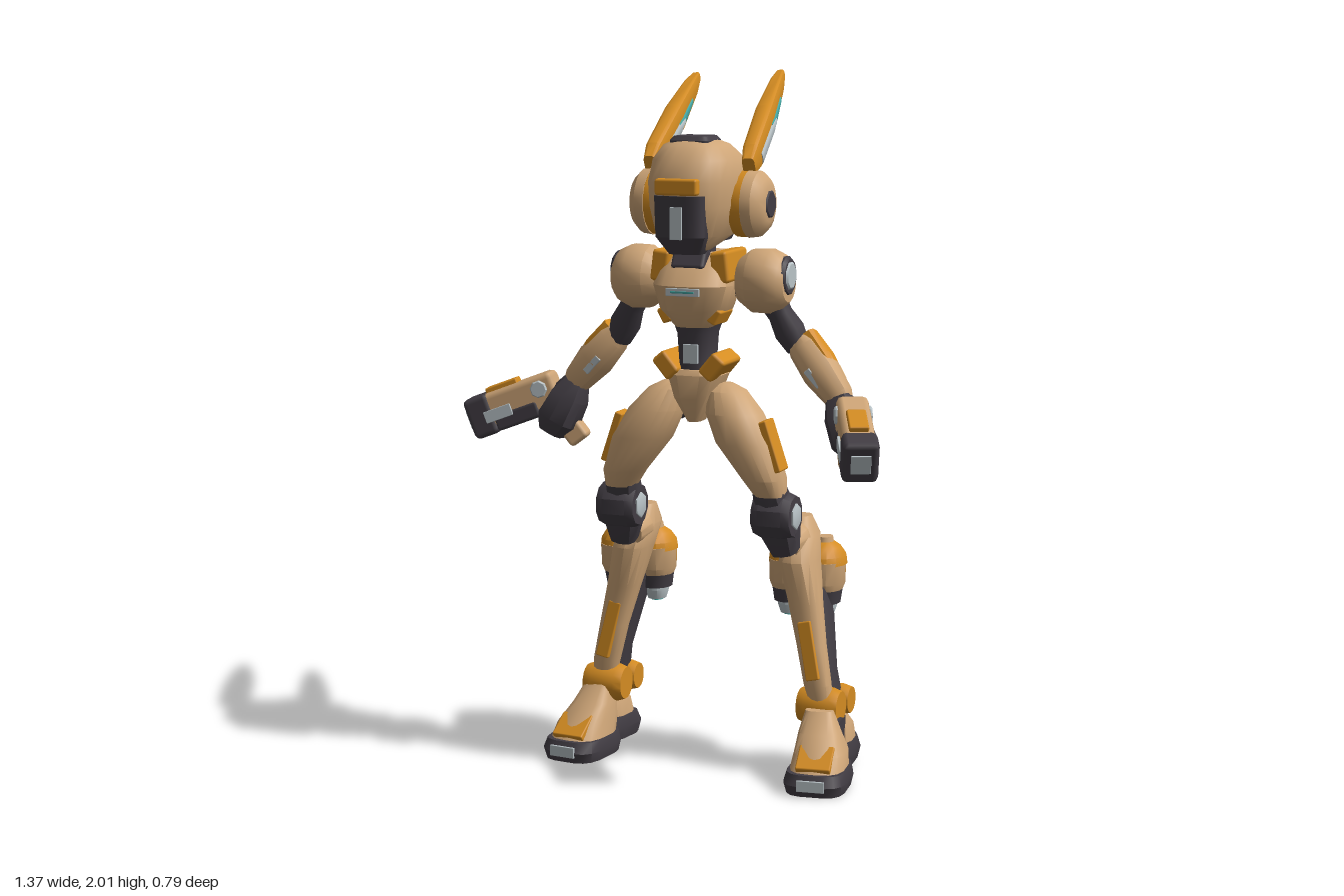
import * as THREE from 'three';
import { toCreasedNormals } from 'three/addons/utils/BufferGeometryUtils.js';
import { RoundedBoxGeometry } from 'three/addons/geometries/RoundedBoxGeometry.js';

const material = (name, color) => Object.assign(new THREE.MeshStandardMaterial({ color }), { name });
const tan = material('tan armour', 0xcfa678);
const orange = material('orange trim', 0xd48c22);
const dark = material('dark frame', 0x423d44);
const grey = material('light grey', 0xb9c3c7);
const teal = material('teal glow', 0x45a9a6);

const V = (x, y, z) => new THREE.Vector3(x, y, z);

// Solid skinned over rings [y, centreX, centreZ, radiusX, radiusZ], listed upwards; power p makes sections boxier
function loft(rings, n = 16, p = 2) {
  const pos = [], idx = [];
  const bend = (v) => Math.sign(v) * Math.abs(v) ** (2 / p);
  for (const [y, cx, cz, rx, rz] of rings)
    for (let i = 0; i < n; i++) {
      const a = ((i + 0.5) / n) * Math.PI * 2;
      pos.push(cx + rx * bend(Math.cos(a)), y, cz + rz * bend(Math.sin(a)));
    }
  const last = rings.length - 1, bottom = rings.length * n, top = bottom + 1;
  pos.push(rings[0][1], rings[0][0], rings[0][2], rings[last][1], rings[last][0], rings[last][2]);
  for (let i = 0; i < n; i++) {
    const j = (i + 1) % n;
    for (let r = 0; r < last; r++) {
      const a = r * n + i, b = r * n + j;
      idx.push(a, a + n, b, b, a + n, b + n);
    }
    idx.push(bottom, i, j, top, last * n + j, last * n + i);
  }
  const g = new THREE.BufferGeometry();
  g.setAttribute('position', new THREE.Float32BufferAttribute(pos, 3));
  g.setIndex(idx);
  return toCreasedNormals(g, 0.6);
}

function add(parent, name, geometry, mat) {
  const mesh = new THREE.Mesh(geometry, mat);
  mesh.name = name;
  parent.add(mesh);
  return mesh;
}

// Loft running from a to b; ring heights are fractions of the length
function limb(parent, name, mat, a, b, rings, n = 14, p = 2) {
  const dir = b.clone().sub(a), len = dir.length();
  dir.normalize();
  const hint = Math.abs(dir.x) > 0.85 ? V(0, 0, 1) : V(1, 0, 0);
  const x = hint.addScaledVector(dir, -hint.dot(dir)).normalize();
  const m = add(parent, name, loft(rings.map(([t, ...r]) => [t * len, ...r]), n, p), mat);
  m.quaternion.setFromRotationMatrix(new THREE.Matrix4().makeBasis(x, dir, x.clone().cross(dir)));
  m.position.copy(a);
  return m;
}
const round = (...pairs) => pairs.map(([t, r, r2 = r]) => [t, 0, 0, r, r2]);

function box(parent, name, mat, [w, h, d], [x, y, z], rot = [0, 0, 0]) {
  const m = add(parent, name, new RoundedBoxGeometry(w, h, d, 1, Math.min(w, h, d) * 0.2), mat);
  m.position.set(x, y, z);
  m.rotation.set(...rot);
  return m;
}

// Disc with bevelled rim, lying across x
const disc = (parent, name, mat, x0, x1, y, z, r, n = 16) =>
  limb(parent, name, mat, V(x0, y, z), V(x1, y, z), round([0, r * 0.85], [0.2, r], [0.8, r], [1, r * 0.85]), n);

function buildHead(g) {
  add(g, 'skull', loft([[1.52, 0, 0.16, 0.055, 0.06], [1.56, 0, 0.12, 0.1, 0.13], [1.64, 0, 0.095, 0.125, 0.165],
    [1.71, 0, 0.09, 0.13, 0.175], [1.77, 0, 0.095, 0.12, 0.145], [1.81, 0, 0.11, 0.088, 0.1], [1.828, 0, 0.12, 0.05, 0.05]], 24, 2.5), tan);
  add(g, 'visor', loft([[1.51, 0, 0.18, 0.048, 0.04], [1.56, 0, 0.2, 0.076, 0.062], [1.675, 0, 0.2, 0.078, 0.07]], 24, 4), dark);
  box(g, 'visorStripe', grey, [0.036, 0.09, 0.008], [0, 1.6, 0.268]);
  box(g, 'browPlate', orange, [0.126, 0.046, 0.04], [0, 1.7, 0.255]);
  add(g, 'crownPanel', loft([[1.79, 0, 0.122, 0.06, 0.062], [1.823, 0, 0.122, 0.06, 0.062], [1.835, 0, 0.122, 0.05, 0.052]], 20, 6), dark);
  add(g, 'napePanel', loft([[1.54, 0, 0.06, 0.07, 0.09], [1.59, 0, 0.03, 0.085, 0.1], [1.635, 0, 0.02, 0.075, 0.096]], 16, 3), dark);
  limb(g, 'neck', dark, V(0, 1.42, 0.065), V(0, 1.56, 0.1), round([0, 0.07], [0.5, 0.045], [1, 0.05]));
  const ears = [[1, V(0.147, 1.75, 0.09), V(0.07, 2, -0.39)], [-1, V(-0.15, 1.75, 0.09), V(-0.19, 1.99, -0.375)]];
  for (const [s, root, tip] of ears) {
    disc(g, 'earRim', orange, s * 0.1, s * 0.155, 1.645, 0.066, 0.094);
    limb(g, 'earCup', tan, V(s * 0.145, 1.645, 0.066), V(s * 0.203, 1.645, 0.066), round([0, 0.096], [0.5, 0.092], [0.85, 0.072], [1, 0.05]), 20);
    disc(g, 'earHub', dark, s * 0.18, s * 0.207, 1.645, 0.066, 0.042, 8);
    limb(g, 'earBlade', orange, root, tip, round([0, 0.018, 0.026], [0.1, 0.025, 0.04], [0.5, 0.027, 0.041], [0.85, 0.019, 0.026], [0.97, 0.012, 0.014], [1, 0.004, 0.006]), 12, 4);
    const at = (t) => root.clone().lerp(tip, t);
    limb(g, 'earUnderside', teal, at(0.14), at(0.66), [[0, 0, -0.03, 0.016, 0.015], [0.65, 0, -0.03, 0.018, 0.015], [1, 0, -0.025, 0.014, 0.012]], 12, 5);
    limb(g, 'earGlow', teal, at(0.42), at(0.72), [[0, 0, -0.012, 0.0285, 0.02], [0.3, 0, -0.012, 0.0285, 0.018], [1, 0, -0.008, 0.0245, 0.008]], 12, 5);
    limb(g, 'earInlay', grey, at(0.12), at(0.52), [[0, 0, -0.014, 0.0275, 0.02], [0.75, 0, -0.014, 0.03, 0.018], [1, 0, -0.014, 0.0295, 0.008]], 12, 5);
  }
}

function buildTorso(g) {
  add(g, 'chest', loft([[1.3, 0, 0.1, 0.06, 0.07], [1.35, 0, 0.11, 0.098, 0.1], [1.42, 0, 0.105, 0.12, 0.115],
    [1.47, 0, 0.09, 0.11, 0.1], [1.51, 0, 0.07, 0.085, 0.07]], 20, 2.6), tan);
  box(g, 'chestVent', grey, [0.1, 0.022, 0.008], [0, 1.405, 0.22]);
  box(g, 'chestGlow', teal, [0.07, 0.006, 0.009], [0, 1.405, 0.221]);
  box(g, 'throatPanel', dark, [0.1, 0.07, 0.05], [0, 1.49, 0.155], [-0.5, 0, 0]);
  box(g, 'backPlate', orange, [0.17, 0.09, 0.03], [0, 1.45, -0.008], [0.15, 0, 0]);
  add(g, 'abdomen', loft([[1.1, 0, 0.1, 0.07, 0.065], [1.2, 0, 0.1, 0.05, 0.058], [1.28, 0, 0.1, 0.056, 0.06], [1.33, 0, 0.1, 0.075, 0.07]], 16, 2.5), dark);
  box(g, 'bellyLight', grey, [0.045, 0.055, 0.01], [0, 1.225, 0.158]);
  add(g, 'pelvis', loft([[1.03, 0, 0.11, 0.02, 0.04], [1.1, 0, 0.105, 0.06, 0.075], [1.165, 0, 0.1, 0.085, 0.08], [1.18, 0, 0.1, 0.07, 0.07]], 12, 3), tan);
  for (const s of [1, -1]) {
    box(g, 'collarPlate', orange, [0.052, 0.09, 0.17], [s * 0.09, 1.472, 0.088], [0, 0, s * 0.12]);
    box(g, 'ribPlate', orange, [0.03, 0.045, 0.1], [s * 0.075, 1.335, 0.125], [0, 0, -s * 0.5]);
    box(g, 'hipBelt', orange, [0.05, 0.075, 0.14], [s * 0.07, 1.192, 0.112], [0, 0, -s * 0.7]);
  }
}

function buildGun(parent, rear, tip) {
  const g = new THREE.Group();
  g.name = 'handGun';
  g.position.copy(rear);
  g.lookAt(tip);
  parent.add(g);
  box(g, 'gunBody', tan, [0.09, 0.108, 0.23], [0, 0, 0.115]);
  box(g, 'gunMuzzle', dark, [0.1, 0.122, 0.08], [0, -0.005, 0.245]);
  box(g, 'gunUnderside', dark, [0.097, 0.05, 0.14], [0, -0.038, 0.14]);
  box(g, 'gunTopPlate', orange, [0.054, 0.022, 0.1], [0, 0.057, 0.16]);
  box(g, 'muzzleLens', grey, [0.055, 0.055, 0.008], [0, -0.005, 0.285]);
  box(g, 'gunGrip', tan, [0.06, 0.15, 0.065], [0, -0.1, 0.015], [0.3, 0, 0]);
  for (const s of [1, -1]) {
    box(g, 'gunSideLight', grey, [0.008, 0.035, 0.085], [s * 0.049, -0.012, 0.19]);
    disc(g, 'gunPivot', grey, s * 0.03, s * 0.052, 0.015, 0.05, 0.026, 8);
  }
}

function buildArm(g, s) {
  const P = (x, y, z) => V(s * x, y, z);
  const hz = s > 0 ? 0.1 : 0.035;
  limb(g, 'shoulder', tan, P(0.12, 1.43, 0.066), P(0.26, 1.43, 0.066), round([0, 0.065], [0.25, 0.09], [0.65, 0.092], [0.9, 0.076], [1, 0.058]), 16);
  disc(g, 'shoulderRing', dark, s * 0.22, s * 0.264, 1.445, 0.066, 0.058, 12);
  disc(g, 'shoulderHub', grey, s * 0.24, s * 0.269, 1.447, 0.066, 0.042, 8);
  limb(g, 'chestJoint', dark, P(0.08, 1.43, 0.066), P(0.15, 1.43, 0.066), round([0, 0.05], [1, 0.05]));
  limb(g, 'upperArm', dark, P(0.195, 1.4, 0.06), P(0.275, 1.24, 0.025), round([0, 0.045], [0.4, 0.036], [0.7, 0.045], [1, 0.035]));
  limb(g, 'forearm', tan, P(0.262, 1.275, 0.02), P(0.425, 1.095, hz * 0.7), round([0, 0.028], [0.2, 0.046], [0.55, 0.054], [0.9, 0.042], [1, 0.03]), 12, 2.4);
  limb(g, 'forearmPlate', orange, P(0.3, 1.278, 0.015), P(0.405, 1.155, hz * 0.5), round([0, 0.024, 0.034], [0.5, 0.028, 0.043], [1, 0.02, 0.028]), 8, 3);
  box(g, 'forearmLight', grey, [0.02, 0.06, 0.01], [s * 0.343, 1.165, 0.056 + hz * 0.4], [0, 0, s * 0.75]);
  limb(g, 'hand', dark, P(0.41, 1.11, hz * 0.7), P(0.485, 0.955, hz + 0.01), round([0, 0.036], [0.3, 0.056], [0.75, 0.062], [1, 0.038]), 10, 3);
  if (s > 0) buildGun(g, V(0.465, 1.085, 0.125), V(0.575, 0.985, 0.37));
  else buildGun(g, V(-0.465, 1.09, 0.03), V(-0.725, 0.99, 0.08));
}

function buildLeg(g, s) {
  // the right leg swings slightly backwards below the hip
  const dz = (y) => (s < 0 && y < 0.8 ? -0.06 * (1 - y / 0.8) : 0);
  const P = (x, y, z) => V(s * x, y, z + dz(y));
  const stack = (name, mat, rings, n, p) =>
    add(g, name, loft(rings.map(([y, x, z, rx, rz]) => [y, s * x, z + dz(y), rx, rz]), n, p), mat);

  limb(g, 'hipJoint', dark, P(0.03, 1.09, 0.085), P(0.11, 1.07, 0.075), round([0, 0.045], [0.5, 0.055], [1, 0.045]));
  stack('thigh', tan, [[0.83, 0.228, 0.12, 0.045, 0.05], [0.88, 0.212, 0.13, 0.062, 0.068], [0.98, 0.158, 0.13, 0.088, 0.078],
    [1.06, 0.118, 0.12, 0.082, 0.075], [1.12, 0.09, 0.105, 0.055, 0.055], [1.14, 0.08, 0.1, 0.025, 0.025]], 18, 2.2);
  box(g, 'thighPlate', orange, [0.024, 0.15, 0.07], [s * 0.24, 0.975, 0.135], [0, 0, s * 0.32]);
  stack('hamstring', dark, [[0.92, 0.18, 0.1, 0.04, 0.05], [0.98, 0.145, 0.095, 0.055, 0.056], [1.07, 0.1, 0.09, 0.05, 0.058]], 12, 2.5);
  stack('thighCuff', orange, [[0.865, 0.21, 0.11, 0.042, 0.055], [0.925, 0.18, 0.105, 0.05, 0.06]], 12, 2.5);
  limb(g, 'kneeFrame', dark, P(0.222, 0.86, 0.125), P(0.252, 0.66, 0.06), round([0, 0.045], [0.35, 0.056], [0.7, 0.056], [1, 0.04]), 10, 2.6);
  disc(g, 'kneeJoint', dark, s * 0.18, s * 0.295, 0.77, 0.1, 0.07, 10);
  for (const x of [0.179, 0.296]) disc(g, 'kneeHub', grey, s * x - 0.006, s * x + 0.006, 0.77, 0.1, 0.038, 6);

  // shin and calf
  limb(g, 'shinBridge', tan, P(0.245, 0.665, 0.03), P(0.25, 0.69, -0.09), round([0, 0.035], [0.5, 0.05], [1, 0.035]));
  stack('shin', tan, [[0.2, 0.35, 0.02, 0.032, 0.025], [0.27, 0.338, 0.022, 0.04, 0.034], [0.38, 0.315, 0.01, 0.043, 0.036],
    [0.5, 0.288, -0.012, 0.05, 0.045], [0.62, 0.262, -0.035, 0.056, 0.078], [0.685, 0.25, -0.068, 0.054, 0.076], [0.738, 0.245, -0.09, 0.03, 0.035]], 14, 2.5);
  stack('calf', dark, [[0.18, 0.35, -0.05, 0.04, 0.05], [0.3, 0.33, -0.055, 0.036, 0.04], [0.45, 0.3, -0.085, 0.045, 0.045], [0.62, 0.265, -0.1, 0.04, 0.04]], 10, 3);
  box(g, 'shinPlate', orange, [0.04, 0.17, 0.02], [s * 0.318, 0.37, 0.044 + dz(0.37)], [-0.12, 0, s * 0.21]);

  // twin thrusters behind the shin
  for (const x of s > 0 ? [0.197, 0.303] : [0.236, 0.346]) {
    const pod = (name, mat, z, ...rings) => stack(name, mat, rings.map(([y, r]) => [y, x, z, r, r * 1.22]), 14);
    pod('thrusterGlow', teal, -0.135, [0.432, 0.018], [0.45, 0.018]);
    pod('thrusterNozzle', grey, -0.135, [0.437, 0.027], [0.465, 0.036], [0.5, 0.034]);
    pod('thrusterCollar', dark, -0.135, [0.475, 0.046], [0.515, 0.052]);
    pod('thrusterShell', tan, -0.135, [0.505, 0.048], [0.535, 0.06], [0.6, 0.061]);
    pod('thrusterBack', orange, -0.15, [0.515, 0.042], [0.54, 0.055], [0.6, 0.058]);
    pod('thrusterTop', orange, -0.14, [0.59, 0.064], [0.615, 0.061], [0.64, 0.045], [0.655, 0.025]);
    pod('thrusterCap', tan, -0.14, [0.64, 0.027], [0.67, 0.022]);
  }
  box(g, 'thrusterMount', dark, [0.13, 0.08, 0.06], [s * 0.27, 0.56, -0.11 + dz(0.56)]);

  // ankle and foot
  for (const [z, r] of [[0, 0.056], [-0.095, 0.045]]) disc(g, 'ankleDisc', orange, s * 0.28, s * 0.402, 0.2, z + dz(0.2) * 0.6, r);
  const foot = new THREE.Group();
  foot.name = 'foot';
  foot.position.set(s * 0.365, 0, dz(0));
  foot.rotation.y = s * 0.12;
  g.add(foot);
  const heel = s > 0 ? 0 : 0.05;
  add(foot, 'toeSole', loft([[0, 0, 0.13, 0.085, 0.11], [0.03, 0, 0.132, 0.092, 0.118], [0.06, 0, 0.125, 0.084, 0.11]], 16, 3.5), dark);
  add(foot, 'footShell', loft([[0.055, 0, 0.125, 0.08, 0.1], [0.1, 0, 0.1, 0.073, 0.094], [0.15, -s * 0.01, 0.075, 0.058, 0.06], [0.205, -s * 0.015, 0.058, 0.04, 0.025]], 14, 3), tan);
  box(foot, 'toePlate', orange, [0.1, 0.02, 0.085], [0, 0.094, 0.183], [0.65, 0, 0]);
  box(foot, 'toeLight', grey, [0.08, 0.032, 0.008], [0, 0.033, 0.247]);
  add(foot, 'heelSole', loft([[0.015, 0, heel - 0.1, 0.06, 0.08], [0.05, 0, heel - 0.1, 0.068, 0.088], [0.085, 0, heel - 0.095, 0.06, 0.075]], 12, 3.5), dark);
  add(foot, 'heelShell', loft([[0.08, 0, heel - 0.09, 0.058, 0.07], [0.13, 0, heel - 0.085, 0.052, 0.06], [0.165, 0, heel - 0.07, 0.035, 0.04]], 12, 3), tan);
  box(foot, 'archLink', dark, [0.08, 0.14, 0.12], [0, 0.11, 0]);
}

export function createModel() {
  const model = new THREE.Group();
  model.name = 'robot';
  const part = (name, build, ...args) => {
    const g = new THREE.Group();
    g.name = name;
    g.position.x = 0.06;
    model.add(g);
    build(g, ...args);
  };
  part('head', buildHead);
  part('torso', buildTorso);
  for (const s of [1, -1]) {
    const side = s > 0 ? 'left' : 'right';
    part(side + 'Arm', buildArm, s);
    part(side + 'Leg', buildLeg, s);
  }
  return model;
}
